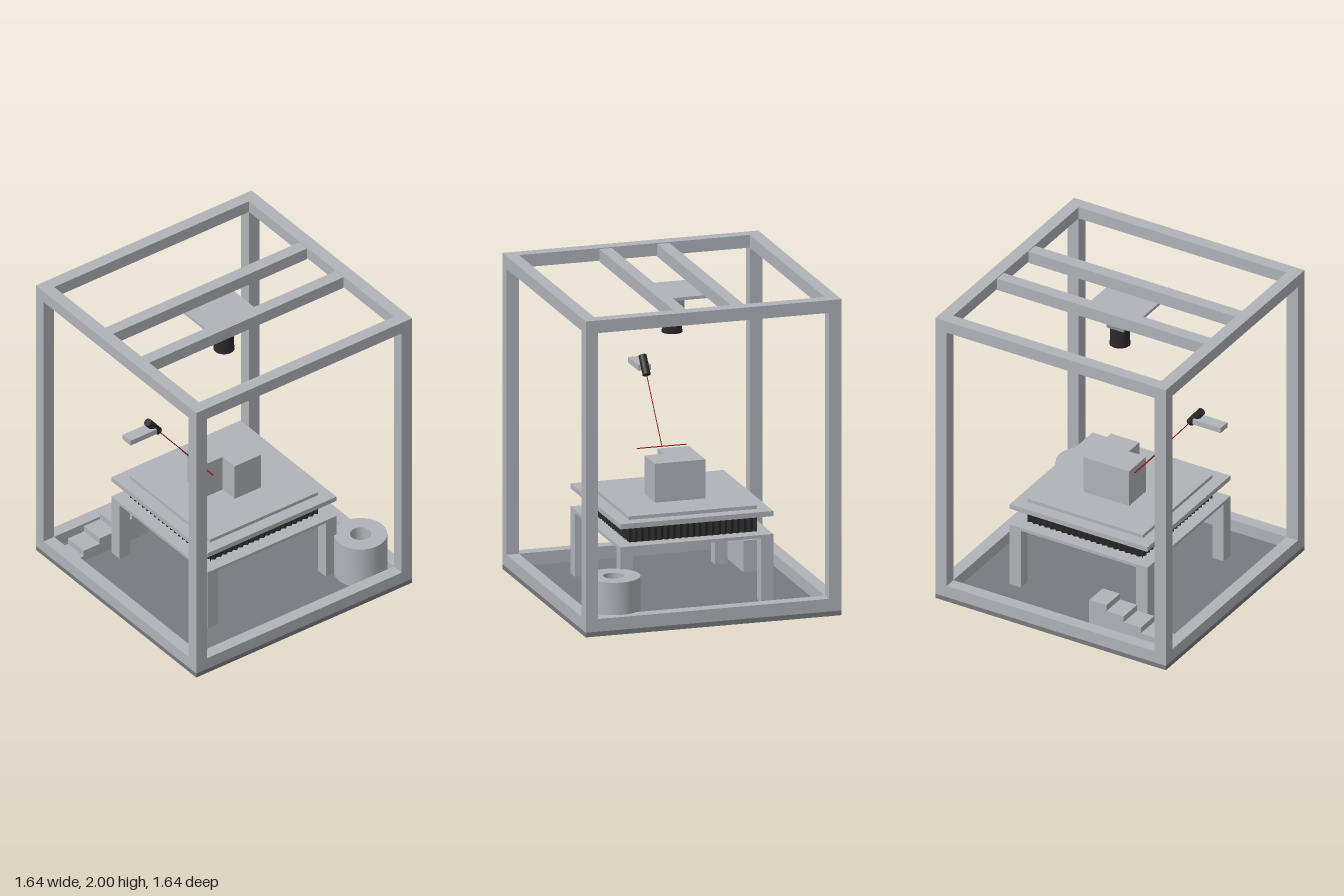
import * as THREE from 'three';
import { toCreasedNormals } from 'three/addons/utils/BufferGeometryUtils.js';

const material = (name, color) => {
  const m = new THREE.MeshStandardMaterial({ color });
  m.name = name;
  return m;
};

export function createModel() {
  const model = new THREE.Group();
  const metal = material('light grey metal', 0xb0b4ba);
  const floorGrey = material('floor grey', 0x777a7e);
  const housing = material('housing grey', 0x8c8f94);
  const black = material('black rubber', 0x2a2a2a);
  const red = material('laser red', 0xa01010);
  const plum = material('lens ring plum', 0x3a1c28);

  const add = (name, geometry, mat, parent = model) => {
    const mesh = new THREE.Mesh(geometry, mat);
    mesh.name = name;
    parent.add(mesh);
    return mesh;
  };
  const group = (name) => {
    const g = new THREE.Group();
    g.name = name;
    model.add(g);
    return g;
  };
  // Box given by its limits on each axis
  const box = (name, [x0, x1], [y0, y1], [z0, z1], mat, parent) => {
    const mesh = add(name, new THREE.BoxGeometry(x1 - x0, y1 - y0, z1 - z0), mat, parent);
    mesh.position.set((x0 + x1) / 2, (y0 + y1) / 2, (z0 + z1) / 2);
    return mesh;
  };
  // Upright prism from an (x, z) outline
  const prism = (name, points, y0, y1, mat, parent) => {
    const shape = new THREE.Shape(points.map(([x, z]) => new THREE.Vector2(x, -z)));
    const geo = new THREE.ExtrudeGeometry(shape, { depth: y1 - y0, bevelEnabled: false });
    geo.rotateX(-Math.PI / 2);
    geo.translate(0, y0, 0);
    return add(name, geo, mat, parent);
  };

  // Base and cage
  const R = 0.82, I = 0.74, BASE = 0.03;
  box('basePlate', [-R, R], [0, BASE], [-R, R], floorGrey);
  const cage = group('cage');
  for (const [y0, y1] of [[BASE, 0.11], [1.92, 2]]) {
    for (const s of [-1, 1]) {
      const span = [Math.min(s * I, s * R), Math.max(s * I, s * R)];
      box('crossRail', [-R, R], [y0, y1], span, metal, cage);
      box('sideRail', span, [y0, y1], [-I, I], metal, cage);
    }
  }
  for (const sx of [-1, 1]) for (const sz of [-1, 1]) {
    box('cornerPost', [sx * 0.78 - 0.04, sx * 0.78 + 0.04], [0.11, 1.92],
      [sz * 0.78 - 0.04, sz * 0.78 + 0.04], metal, cage);
  }
  for (const z of [-0.185, 0.185]) {
    box('topBeam', [-I, I], [1.914, 1.994], [z - 0.04, z + 0.04], metal, cage);
  }

  // Overhead camera
  const camera = group('overheadCamera');
  box('mountPlate', [-0.185, 0.185], [1.895, 1.914], [-0.185, 0.185], metal, camera);
  box('cameraBody', [-0.06, 0.06], [1.775, 1.895], [-0.06, 0.06], housing, camera);
  add('lensBarrel', new THREE.CylinderGeometry(0.061, 0.061, 0.12, 40), black, camera)
    .position.y = 1.717;
  add('lensRing', new THREE.CylinderGeometry(0.065, 0.065, 0.01, 40), plum, camera)
    .position.y = 1.655;

  // Line laser: arm, tilted emitter, beam and projected line
  const laser = group('lineLaser');
  box('laserArm', [-I, -0.54], [1.26, 1.295], [-0.04, 0.04], metal, laser);
  const centre = new THREE.Vector3(-0.54, 1.293, 0);
  const target = new THREE.Vector3(-0.2, 0.87, 0);
  const dir = target.clone().sub(centre).normalize();
  const aim = new THREE.Quaternion().setFromUnitVectors(new THREE.Vector3(0, -1, 0), dir);
  const emitter = add('laserEmitter', new THREE.CylinderGeometry(0.025, 0.025, 0.13, 28), black, laser);
  emitter.position.copy(centre);
  emitter.quaternion.copy(aim);
  const beam = add('laserBeam',
    new THREE.CylinderGeometry(0.003, 0.003, centre.distanceTo(target), 8), red, laser);
  beam.position.copy(centre).lerp(target, 0.5);
  beam.quaternion.copy(aim);
  box('laserLine', [-0.204, -0.196], [0.867, 0.871], [-0.16, 0.16], red, laser);

  // Table stand
  const table = group('table');
  for (const sx of [-1, 1]) for (const sz of [-1, 1]) {
    box('tableLeg', [sx * 0.45 - 0.04, sx * 0.45 + 0.04], [BASE, 0.435],
      [sz * 0.45 - 0.04, sz * 0.45 + 0.04], metal, table);
  }
  box('standTop', [-0.49, 0.49], [0.435, 0.455], [-0.49, 0.49], metal, table);

  // Pleated bellows: zigzag outline along each of the four sides
  const pleats = [], teeth = 40, H = 0.41;
  for (let side = 0; side < 4; side++) {
    const a = side * Math.PI / 2, c = Math.cos(a), s = Math.sin(a);
    for (let i = 0; i < teeth; i++) {
      const u = -H + (2 * H * i) / teeth, v = i % 2 ? H - 0.015 : H;
      pleats.push([u * c - v * s, u * s + v * c]);
    }
  }
  // Start from the opposite corner of each side so the outline runs round once
  const outline = [];
  for (let side = 3; side >= 0; side--) outline.push(...pleats.slice(side * teeth, (side + 1) * teeth).reverse());
  prism('bellows', outline, 0.455, 0.56, black, table);
  box('platformFlange', [-0.49, 0.49], [0.568, 0.6], [-0.49, 0.49], metal, table);
  box('platform', [-H, H], [0.558, 0.622], [-H, H], metal, table);

  // Notched block under inspection
  prism('notchedBlock', [[-0.04, 0.162], [0.162, 0.162], [0.162, -0.162],
    [-0.162, -0.162], [-0.162, 0.04], [-0.04, 0.04]], 0.622, 0.868, metal);

  // Sample ring on the floor
  const ring = new THREE.LatheGeometry([[0.065, BASE], [0.163, BASE], [0.163, 0.315],
    [0.065, 0.315], [0.065, BASE]].map(([x, y]) => new THREE.Vector2(x, y)), 56);
  add('sampleRing', toCreasedNormals(ring, 0.6), metal).position.set(0.612, 0, 0.573);

  // Stepped sample
  const steps = group('steppedSample');
  for (let i = 0; i < 5; i++) {
    box('step', [Math.max(-0.19 - 0.1225 * (i + 1), -0.8), -0.19 - 0.1225 * i],
      [BASE, 0.23 - 0.041 * i], [-0.68, -0.52], metal, steps);
  }
  return model;
}
